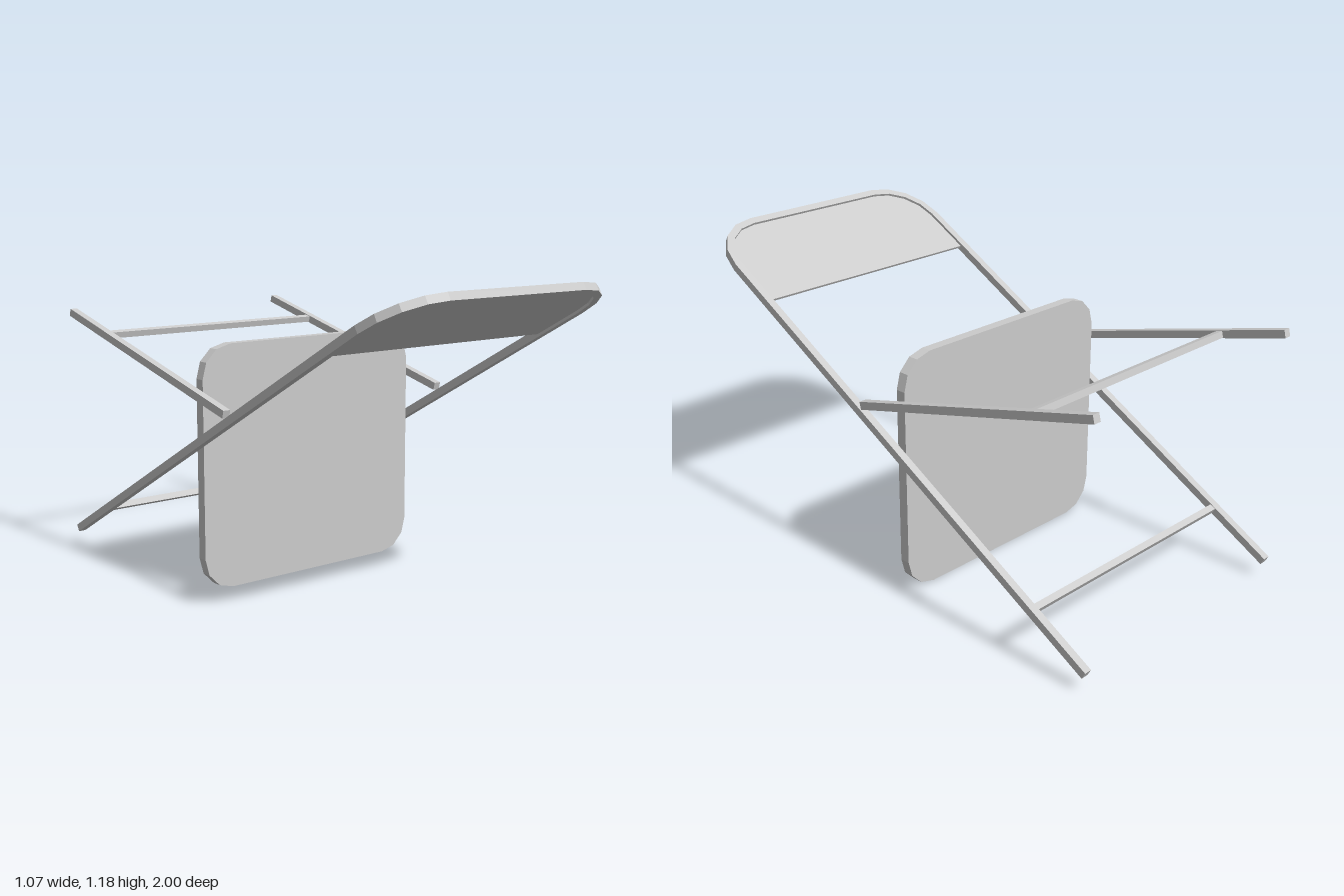
import * as THREE from 'three';

const material = new THREE.MeshStandardMaterial({ color: 0xcccccc, flatShading: true });

function add(parent, name, geometry, x = 0, y = 0, z = 0) {
  const mesh = new THREE.Mesh(geometry, material);
  mesh.name = name;
  mesh.position.set(x, y, z);
  parent.add(mesh);
  return mesh;
}

// Points of a rounded corner, in steps of a quarter circle
function corner(cx, cy, r, from, to, steps) {
  return Array.from({ length: steps + 1 }, (_, i) => {
    const a = from + ((to - from) * i) / steps;
    return new THREE.Vector2(cx + r * Math.cos(a), cy + r * Math.sin(a));
  });
}

// Rounded top edge of the frame, running from right (+x) to left
function arch(halfWidth, top, r, steps) {
  const q = Math.PI / 2;
  return [
    ...corner(halfWidth - r, top - r, r, 0, q, steps),
    ...corner(-halfWidth + r, top - r, r, q, 2 * q, steps),
  ];
}

// Flat slab of the given outline, centred on its thickness
function slab(points, depth) {
  const geometry = new THREE.ExtrudeGeometry(new THREE.Shape(points), { depth, bevelEnabled: false });
  return geometry.translate(0, 0, -depth / 2);
}

const OUT = 0.535, IN = 0.505, TUBE = 0.03, BAR = 0.025;
const v = (x, y) => new THREE.Vector2(x, y);

export function createModel() {
  const model = new THREE.Group();
  model.name = 'foldingChair';

  // Main frame: one bent U of square tube, built flat and then tilted
  const half = 1.136;
  const mainFrame = new THREE.Group();
  mainFrame.name = 'mainFrame';
  mainFrame.position.set(0, 0.6215, 0);
  mainFrame.rotation.x = THREE.MathUtils.degToRad(60.95);
  model.add(mainFrame);

  const outer = arch(OUT, half, 0.215, 4);
  const inner = arch(IN, half - TUBE, 0.185, 4);
  add(mainFrame, 'frameTube', slab([
    v(OUT, -half), ...outer, v(-OUT, -half),
    v(-IN, -half), ...inner.slice().reverse(), v(IN, -half),
  ], TUBE));

  // Thin backrest filling the bend of the U
  add(mainFrame, 'backrest', slab([v(IN, 0.715), ...inner, v(-IN, 0.715)], 0.01));
  add(mainFrame, 'frontCrossbar', new THREE.BoxGeometry(2 * IN, BAR, BAR), 0, -0.856, 0);

  // Second pair of legs with their crossbar
  const rearFrame = new THREE.Group();
  rearFrame.name = 'rearFrame';
  rearFrame.position.set(0, 0.846, -0.455);
  rearFrame.rotation.x = THREE.MathUtils.degToRad(14.57);
  model.add(rearFrame);
  for (const side of [1, -1]) {
    add(rearFrame, side > 0 ? 'leftRearLeg' : 'rightRearLeg',
      new THREE.BoxGeometry(TUBE, TUBE, 1.12), side * (OUT + IN) / 2, 0, 0);
  }
  add(rearFrame, 'rearCrossbar', new THREE.BoxGeometry(2 * IN, BAR, BAR), 0, 0, -0.281);

  // Upright seat board with rounded corners
  const r = 0.125, w = IN - r, h = 0.465 - r, q = Math.PI / 2;
  const outline = [[w, h], [-w, h], [-w, -h], [w, -h]]
    .flatMap(([x, y], i) => corner(x, y, r, i * q, (i + 1) * q, 3));
  add(model, 'seat', slab(outline, 0.04), 0, 0.467, -0.1);

  return model;
}
